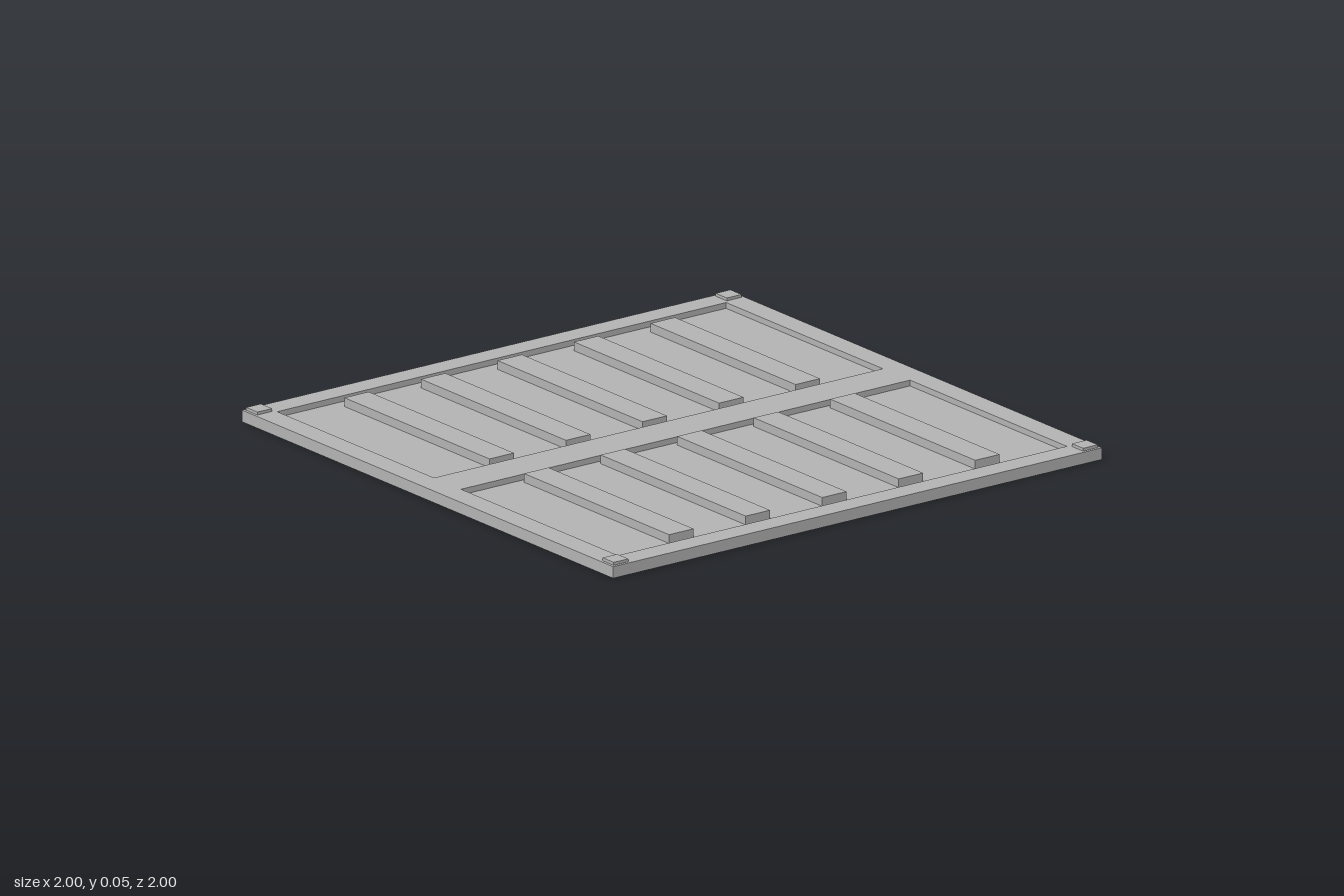
import * as THREE from 'three';

export function createModel() {
  const model = new THREE.Group();
  const grey = new THREE.MeshStandardMaterial({ color: 0xb2b2b2 });
  grey.name = 'grey';

  const floorY = 0.02, rimY = 0.04, topY = 0.05;

  function add(name, geometry, x = 0, y = 0, z = 0) {
    const mesh = new THREE.Mesh(geometry, grey);
    mesh.name = name;
    mesh.position.set(x, y, z);
    model.add(mesh);
  }

  // Rectangle traced in the plan, used for the outline and the recesses
  function rect(PathType, x0, y0, x1, y1) {
    return new PathType([[x0, y0], [x1, y0], [x1, y1], [x0, y1]].map(([x, y]) => new THREE.Vector2(x, y)));
  }

  // Full-depth slab with two rectangular wells
  const outline = rect(THREE.Shape, -1, -1, 1, 1);
  outline.holes.push(
    rect(THREE.Path, -0.918, 0.073, 0.918, 0.918),
    rect(THREE.Path, -0.918, -0.918, 0.918, -0.073)
  );
  const frame = new THREE.ExtrudeGeometry(outline, { depth: rimY, bevelEnabled: false });
  frame.rotateX(-Math.PI / 2);
  add('frame', frame);

  for (const side of [-1, 1]) {
    const end = side < 0 ? 'back' : 'front';

    // Floor closing the bottom of each well
    add(`${end}RecessFloor`, new THREE.BoxGeometry(1.836, floorY, 0.845), 0, floorY / 2, side * 0.4955);

    // Five raised ribs standing on the floor
    const ribHeight = topY - floorY;
    for (let i = -2; i <= 2; i++) {
      add(`${end}Rib${i + 3}`, new THREE.BoxGeometry(0.1, ribHeight, 0.782),
        i * 0.313, floorY + ribHeight / 2, side * 0.484);
    }

    // Small square pads on the corners
    for (const x of [-0.96, 0.96]) {
      add(`${end}${x < 0 ? 'Right' : 'Left'}CornerPad`, new THREE.BoxGeometry(0.06, topY - rimY, 0.06),
        x, (rimY + topY) / 2, side * 0.96);
    }
  }

  return model;
}
